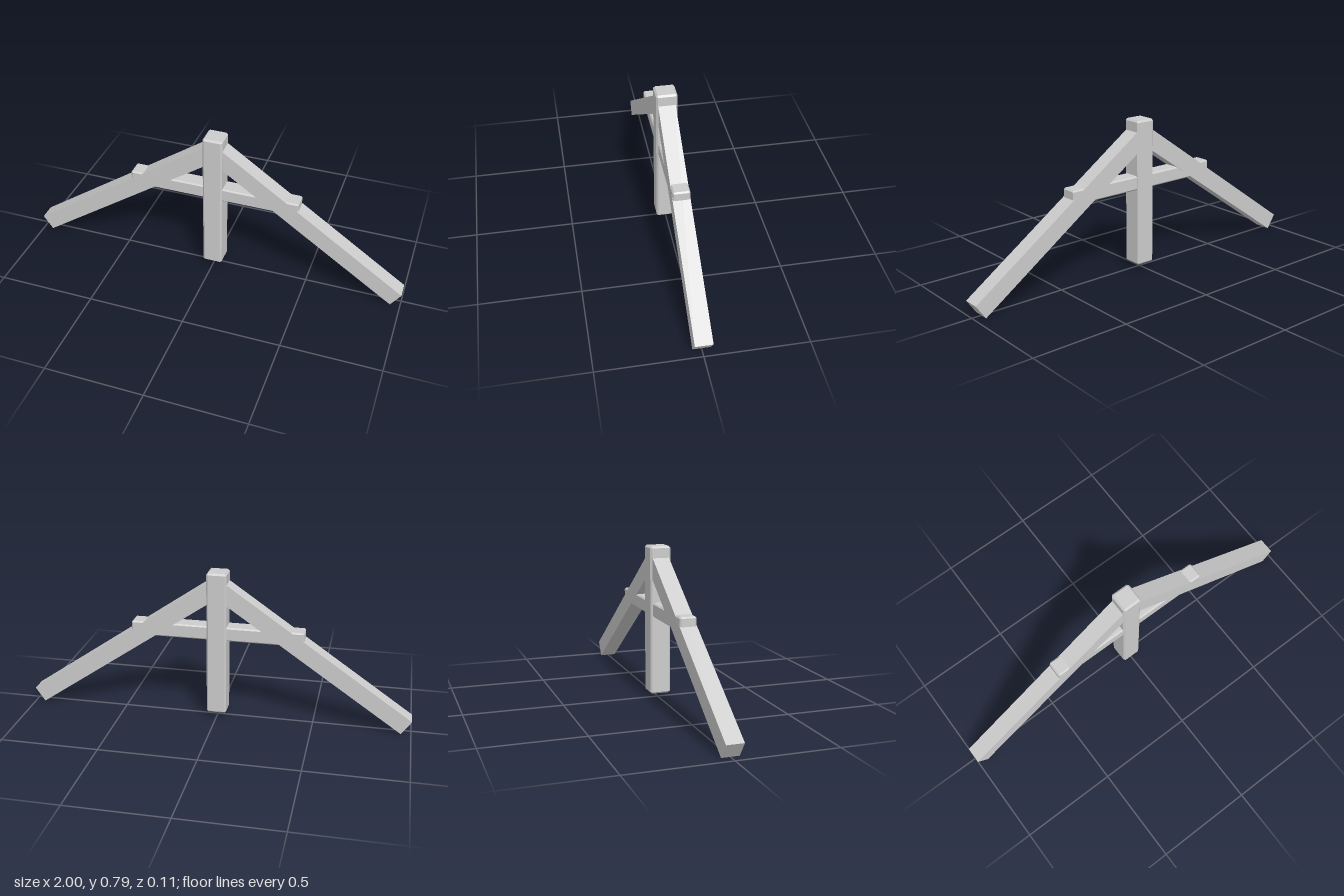
import * as THREE from 'three';
import { ConvexGeometry } from 'three/addons/geometries/ConvexGeometry.js';

// Box with flat chamfers of width c along every edge
function chamferedBox(w, h, d, c) {
  const points = [];
  for (const x of [-w / 2, w / 2])
    for (const y of [-h / 2, h / 2])
      for (const z of [-d / 2, d / 2]) {
        const inset = (v) => v - Math.sign(v) * c;
        points.push(
          new THREE.Vector3(x, inset(y), inset(z)),
          new THREE.Vector3(inset(x), y, inset(z)),
          new THREE.Vector3(inset(x), inset(y), z)
        );
      }
  return new ConvexGeometry(points);
}

export function createModel() {
  const model = new THREE.Group();
  model.name = 'roofTruss';
  const timber = new THREE.MeshStandardMaterial({ color: 0xcccccc });
  timber.name = 'greyTimber';

  function add(name, geometry, y = 0) {
    const mesh = new THREE.Mesh(geometry, timber);
    mesh.name = name;
    mesh.position.y = y;
    model.add(mesh);
  }

  // Central upright post
  add('kingPost', chamferedBox(0.102, 0.76, 0.106, 0.009), 0.408);

  // Horizontal tie through both rafters
  add('collarBeam', chamferedBox(0.888, 0.073, 0.085, 0.007), 0.468);

  // Sloping rafters, square-cut at the foot and mitred inside the post
  const depth = 0.086;
  for (const [name, side] of [['leftRafter', 1], ['rightRafter', -1]]) {
    const outline = [[0, 0.655], [0.95, 0], [1, 0.073], [0, 0.765]];
    const shape = new THREE.Shape(outline.map(([x, y]) => new THREE.Vector2(side * x, y)));
    const geometry = new THREE.ExtrudeGeometry(shape, { depth, bevelEnabled: false });
    geometry.translate(0, 0, -depth / 2);
    add(name, geometry);
  }
  return model;
}
